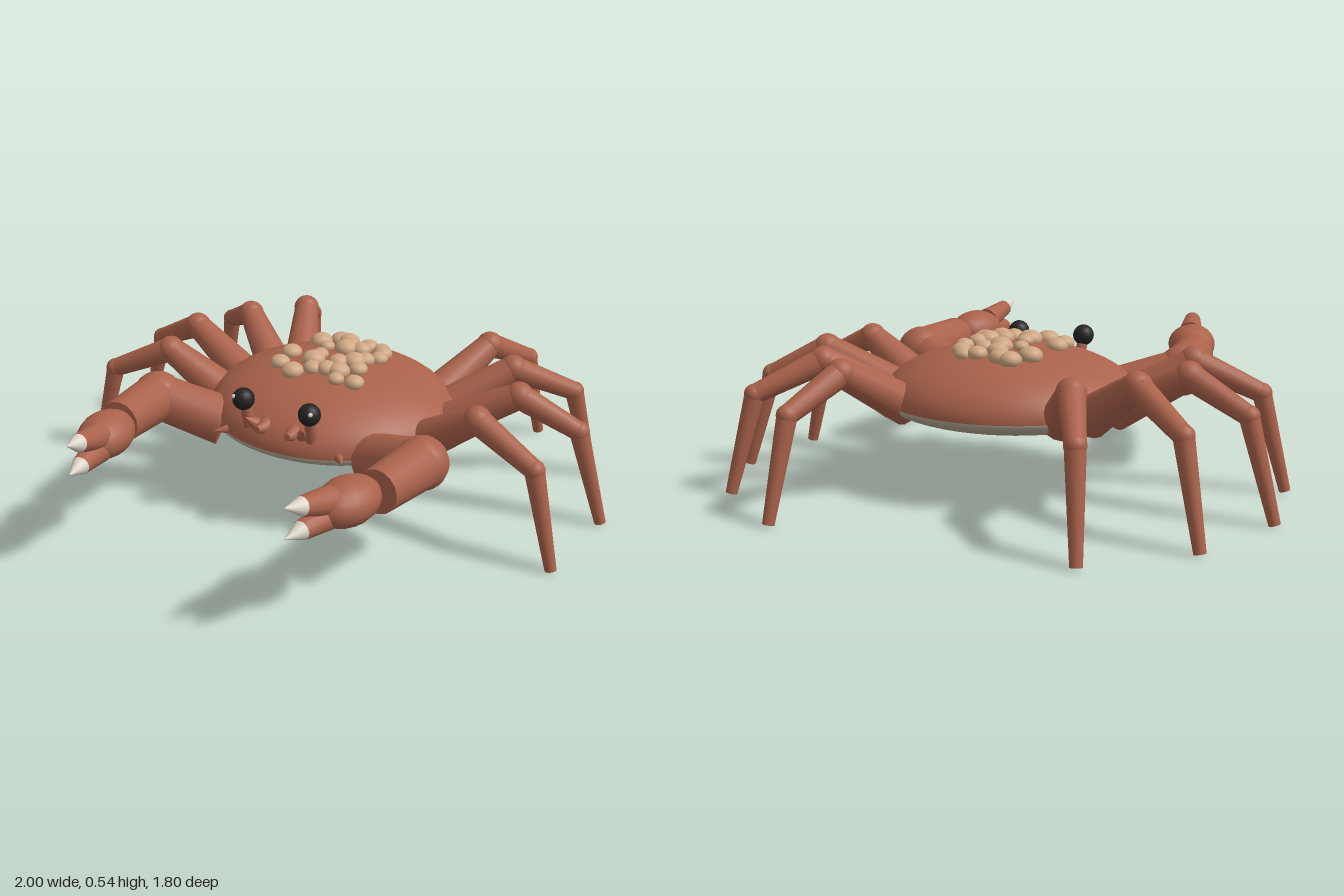
import * as THREE from 'three';

const mat = (name, color, side = THREE.FrontSide) => {
  const m = new THREE.MeshStandardMaterial({ color, side });
  m.name = name;
  return m;
};

export function createModel() {
  const shellRed = mat('shellRed', 0xaa624b, THREE.DoubleSide);
  const bellyGrey = mat('bellyGrey', 0xb5a792, THREE.DoubleSide);
  const barnacleTan = mat('barnacleTan', 0xcfa682);
  const eyeBlack = mat('eyeBlack', 0x242222);
  const paleTip = mat('paleTip', 0xdcd5c8);

  const V = (p) => new THREE.Vector3(...p);
  const UP = new THREE.Vector3(0, 1, 0);
  const model = new THREE.Group();
  model.name = 'crab';

  const add = (parent, name, geometry, material) => {
    const m = new THREE.Mesh(geometry, material);
    m.name = name;
    parent.add(m);
    return m;
  };
  // Tapered limb segment between two points
  const limb = (parent, name, a, b, ra, rb, material = shellRed) => {
    const from = V(a), to = V(b), dir = to.clone().sub(from);
    const m = add(parent, name, new THREE.CylinderGeometry(rb, ra, dir.length(), 16), material);
    m.position.copy(from).add(to).multiplyScalar(0.5);
    m.quaternion.setFromUnitVectors(UP, dir.normalize());
    return m;
  };
  const ball = (parent, name, p, r, material = shellRed) => {
    const m = add(parent, name, new THREE.SphereGeometry(r, 16, 12), material);
    m.position.copy(V(p));
    return m;
  };

  // Domed carapace and shallow belly meet at the rim
  const RIM = 0.31, RX = 0.46, RZ = 0.423, CZ = -0.105, DOME = 0.195;
  const half = (name, height, start, material) => {
    const m = add(model, name, new THREE.SphereGeometry(1, 48, 16, 0, Math.PI * 2, start, Math.PI / 2), material);
    m.scale.set(RX, height, RZ);
    m.position.set(0, RIM, CZ);
  };
  half('carapace', DOME, 0, shellRed);
  half('belly', 0.09, Math.PI / 2, bellyGrey);
  const shellY = (x, z) =>
    RIM + DOME * Math.sqrt(Math.max(0, 1 - (x / RX) ** 2 - ((z - CZ) / RZ) ** 2));

  // Barnacle cluster on the back: x, z, radius
  const barnacles = [
    [-0.08, -0.31, 0.04], [-0.04, -0.3, 0.04], [-0.13, -0.25, 0.042], [0.05, -0.285, 0.035],
    [0.1, -0.29, 0.032], [0.125, -0.25, 0.035], [0.14, -0.19, 0.033], [0.11, -0.14, 0.035],
    [0, -0.2, 0.043], [-0.01, -0.25, 0.037], [-0.07, -0.185, 0.028], [0.05, -0.225, 0.036],
    [0.085, -0.105, 0.042], [0.04, -0.07, 0.036], [0.125, -0.06, 0.034], [-0.05, -0.1, 0.03],
    [-0.05, -0.05, 0.043], [-0.165, -0.09, 0.038], [-0.16, 0, 0.036], [-0.08, 0.05, 0.041],
    [-0.02, 0.01, 0.034], [0.03, -0.005, 0.037], [0.075, -0.01, 0.04], [0.09, 0.04, 0.03],
    [0.155, 0.025, 0.035],
  ];
  const cluster = new THREE.Group();
  cluster.name = 'barnacles';
  model.add(cluster);
  for (const [x, z, r] of barnacles) {
    ball(cluster, 'barnacle', [x, shellY(x, z) + 0.008, z], r, barnacleTan).scale.y = 0.75;
  }

  // Walking legs: hip, knee, ankle and tip as [x, z]
  const legs = [
    [[0.4, -0.01], [0.62, 0.03], [0.85, 0.08], [0.94, 0.098]],
    [[0.4, -0.165], [0.67, -0.22], [0.88, -0.265], [0.98, -0.287]],
    [[0.36, -0.295], [0.56, -0.435], [0.75, -0.58], [0.825, -0.637]],
    [[0.285, -0.36], [0.4, -0.6], [0.485, -0.8], [0.52, -0.882]],
  ];
  const heights = [0.31, 0.46, 0.355, 0.012];

  for (const s of [1, -1]) {
    const side = s > 0 ? 'left' : 'right';
    const P = (x, y, z) => [s * x, y, z];

    legs.forEach((points, i) => {
      const leg = new THREE.Group();
      leg.name = `${side}Leg${i + 1}`;
      model.add(leg);
      const [hip, knee, ankle, tip] = points.map(([x, z], k) => P(x, heights[k], z));
      limb(leg, 'upperLeg', hip, knee, 0.073, 0.047);
      ball(leg, 'knee', knee, 0.05);
      limb(leg, 'middleLeg', knee, ankle, 0.046, 0.034);
      ball(leg, 'ankle', ankle, 0.036);
      limb(leg, 'lowerLeg', ankle, tip, 0.034, 0.02);
    });

    // Claw arm
    const arm = new THREE.Group();
    arm.name = `${side}ClawArm`;
    model.add(arm);
    const elbow = P(0.525, 0.375, 0.25);
    limb(arm, 'upperArm', P(0.3, 0.295, 0.165), elbow, 0.09, 0.082);
    ball(arm, 'elbow', elbow, 0.092);
    limb(arm, 'forearm', elbow, P(0.498, 0.388, 0.515), 0.087, 0.075);
    const palm = ball(arm, 'palm', P(0.46, 0.402, 0.63), 1);
    palm.scale.set(0.09, 0.075, 0.125);
    palm.rotation.y = -s * 0.2;
    for (const [y0, y1, y2] of [[0.43, 0.465, 0.488], [0.385, 0.384, 0.386]]) {
      const joint = P(0.412, y1, 0.825);
      limb(arm, 'finger', P(0.436, y0, 0.7), joint, 0.048, 0.031);
      limb(arm, 'fingerTip', joint, P(0.398, y2, 0.895), 0.031, 0.002, paleTip);
    }

    // Stalked eye with a small catchlight
    limb(model, `${side}EyeStalk`, P(0.12, 0.34, 0.26), P(0.13, 0.47, 0.29), 0.024, 0.018);
    ball(model, `${side}Eye`, P(0.13, 0.472, 0.292), 0.039, eyeBlack);
    ball(model, `${side}Catchlight`, P(0.15, 0.487, 0.32), 0.008, paleTip);

    // Brow spines and rim spines
    limb(model, 'browSpine', P(0.055, 0.375, 0.26), P(0.06, 0.383, 0.322), 0.032, 0.012);
    limb(model, 'browSpine', P(0.09, 0.37, 0.265), P(0.115, 0.41, 0.305), 0.03, 0.002);
    limb(model, 'rimSpine', P(0.205, 0.32, 0.235), P(0.255, 0.32, 0.295), 0.026, 0.001);
    limb(model, 'rimSpine', P(0.44, 0.325, -0.075), P(0.54, 0.325, -0.075), 0.03, 0.001);
  }
  return model;
}
